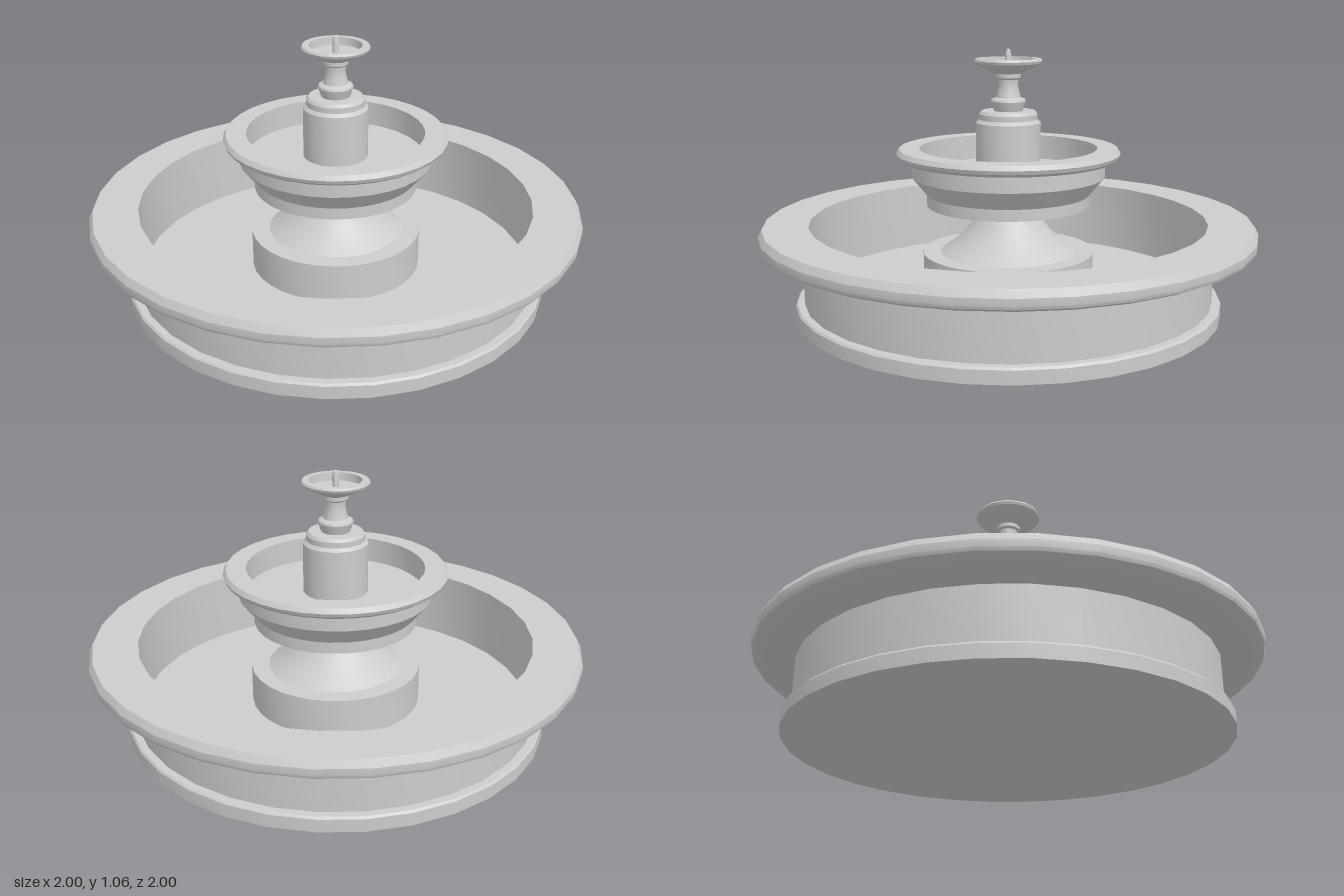
import * as THREE from 'three';
import { toCreasedNormals } from 'three/addons/utils/BufferGeometryUtils.js';

const SIDES = 32;

export function createModel() {
  const fountain = new THREE.Group();
  fountain.name = 'fountain';
  const stone = new THREE.MeshStandardMaterial({ color: 0xcccccc });
  stone.name = 'stone';

  // Turn a profile of [radius, height] pairs, listed up the outside and down the inside
  function turn(name, profile) {
    const points = profile.map(([r, y]) => new THREE.Vector2(r, y));
    const geometry = toCreasedNormals(new THREE.LatheGeometry(points, SIDES), 0.4);
    const mesh = new THREE.Mesh(geometry, stone);
    mesh.name = name;
    fountain.add(mesh);
  }

  // Wide ground basin with plinth, overhanging rim and sunken floor
  turn('basin', [
    [0, 0], [0.865, 0], [0.865, 0.052], [0.858, 0.06], [0.83, 0.06],
    [0.83, 0.273], [0.97, 0.29], [0.995, 0.303], [1, 0.315],
    [1, 0.342], [0.985, 0.37],
    [0.805, 0.37], [0.805, 0.08], [0, 0.08],
  ]);

  // Round block and flared foot carrying the bowl
  turn('pedestal', [
    [0.349, 0.08], [0.349, 0.235], [0.277, 0.235], [0.235, 0.264],
    [0.18, 0.312], [0.133, 0.37], [0.11, 0.41], [0.1, 0.42], [0.1, 0.44],
  ]);

  // Middle bowl
  turn('bowl', [
    [0, 0.43], [0.332, 0.43], [0.332, 0.476], [0.392, 0.55],
    [0.392, 0.612], [0.43, 0.618], [0.447, 0.63], [0.453, 0.645],
    [0.441, 0.663], [0.36, 0.663], [0.36, 0.56], [0, 0.56],
  ]);

  // Pillar rising from the bowl, with a stepped cap
  turn('pillar', [
    [0.131, 0.56], [0.131, 0.765], [0.118, 0.778], [0.118, 0.8],
    [0.108, 0.812], [0, 0.812],
  ]);

  // Small baluster under the top dish
  turn('baluster', [
    [0.058, 0.812], [0.071, 0.85], [0.068, 0.858], [0.05, 0.866], [0.044, 0.89],
    [0.039, 0.915], [0.041, 0.938], [0.05, 0.945], [0.05, 0.962], [0, 0.965],
  ]);

  // Top dish
  turn('topDish', [
    [0, 0.958], [0.048, 0.96], [0.12, 0.994], [0.132, 1.002], [0.136, 1.012],
    [0.131, 1.02], [0.105, 1.02], [0.102, 0.988], [0, 0.988],
  ]);

  // Water nozzle
  turn('nozzle', [
    [0.013, 0.988], [0.013, 1.035], [0.008, 1.055], [0, 1.06],
  ]);

  return fountain;
}
